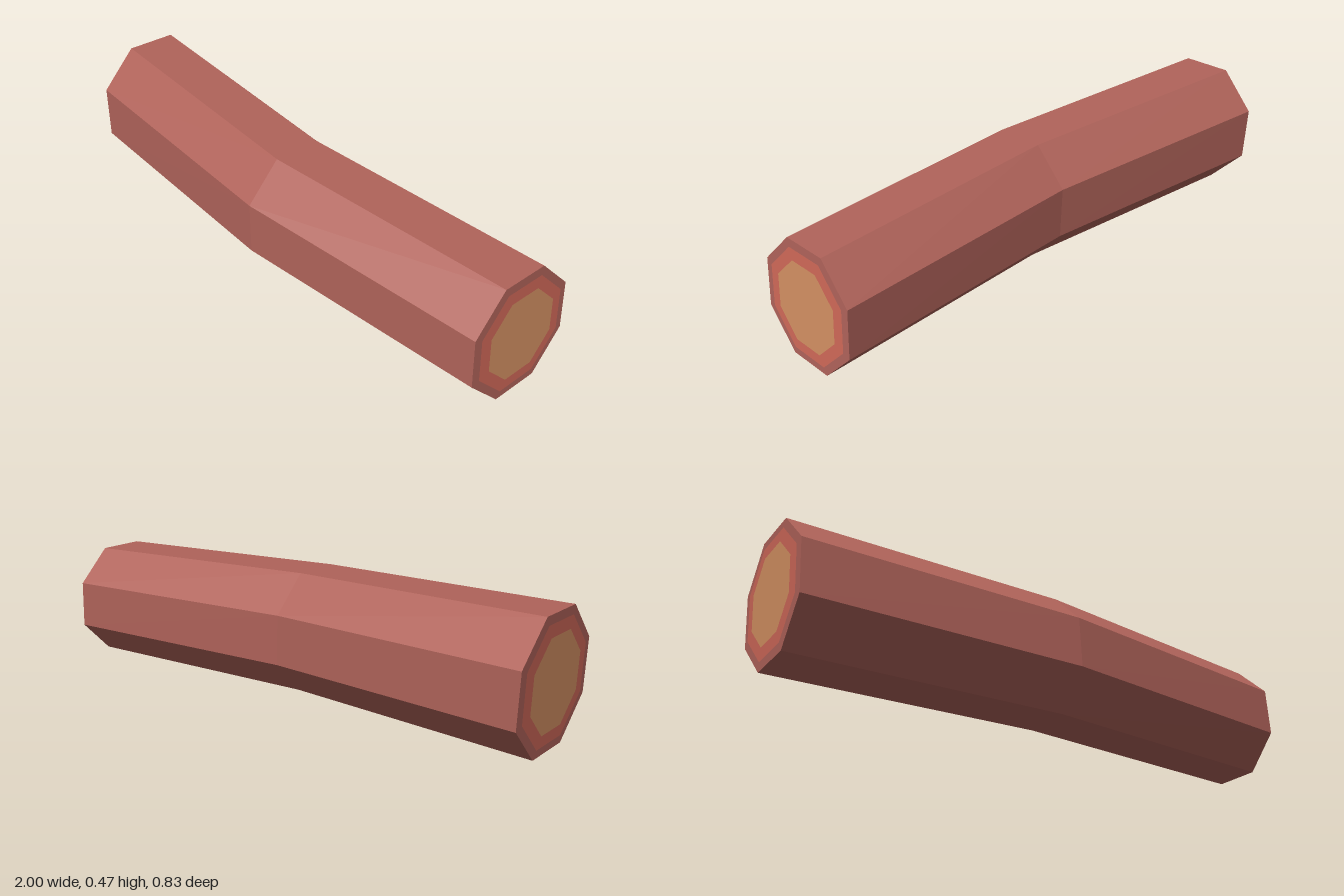
import * as THREE from 'three';

const SIDES = 8;
const CORNER = 1 / Math.cos(Math.PI / SIDES); // apothem to corner radius

// Cross-sections along the bent trunk: centre, half-width vector, half-height vector
const sections = [
  { c: [-0.953, 0.238, -0.185], side: [-0.046, 0, 0.225], up: [-0.011, 0.233, -0.008] },
  { c: [0, 0.2235, 0.08], side: [-0.04, 0, 0.215], up: [-0.008, 0.2215, -0.006] },
  { c: [0.951, 0.211, 0.204], side: [-0.041, 0, 0.206], up: [-0.008, 0.21, -0.005] },
].map((s) => ({
  c: new THREE.Vector3(...s.c),
  side: new THREE.Vector3(...s.side),
  up: new THREE.Vector3(...s.up),
}));

// Octagon corner i of a section, scaled and pushed out along x
function corner(s, i, scale = 1, push = 0) {
  const a = ((i + 0.5) / SIDES) * Math.PI * 2;
  const p = s.c.clone()
    .addScaledVector(s.side, Math.cos(a) * CORNER * scale)
    .addScaledVector(s.up, Math.sin(a) * CORNER * scale);
  p.x += push;
  return p;
}

function facetedMesh(points, material, name) {
  const geometry = new THREE.BufferGeometry().setFromPoints(points);
  geometry.computeVertexNormals();
  const mesh = new THREE.Mesh(geometry, material);
  mesh.name = name;
  return mesh;
}

// Flat octagon facing dir (+1 or -1) along the trunk
function disc(s, dir, scale, push) {
  const points = [];
  const centre = s.c.clone();
  centre.x += push * dir;
  for (let i = 0; i < SIDES; i++) {
    const a = corner(s, i, scale, push * dir);
    const b = corner(s, i + 1, scale, push * dir);
    points.push(centre, ...(dir > 0 ? [b, a] : [a, b]));
  }
  return points;
}

function makeMaterial(name, color) {
  const material = new THREE.MeshStandardMaterial({ color });
  material.name = name;
  return material;
}

export function createModel() {
  const group = new THREE.Group();
  group.name = 'log';
  const bark = makeMaterial('bark', 0xb0635a);
  const sapwood = makeMaterial('sapwood', 0xcf6858);
  const heartwood = makeMaterial('heartwood', 0xd39062);

  // Bent eight-sided trunk with closed ends
  const trunk = [];
  for (let k = 0; k < sections.length - 1; k++) {
    for (let i = 0; i < SIDES; i++) {
      const a = corner(sections[k], i);
      const b = corner(sections[k + 1], i);
      const c = corner(sections[k + 1], i + 1);
      const d = corner(sections[k], i + 1);
      trunk.push(a, b, c, a, c, d);
    }
  }
  trunk.push(...disc(sections[0], -1, 1, 0), ...disc(sections[2], 1, 1, 0));
  group.add(facetedMesh(trunk, bark, 'trunk'));

  // Cut wood on both ends
  for (const [s, dir, label] of [[sections[0], -1, 'right'], [sections[2], 1, 'left']]) {
    group.add(facetedMesh(disc(s, dir, 0.87, 0.003), sapwood, `${label}Sapwood`));
    group.add(facetedMesh(disc(s, dir, 0.685, 0.006), heartwood, `${label}Heartwood`));
  }
  return group;
}
